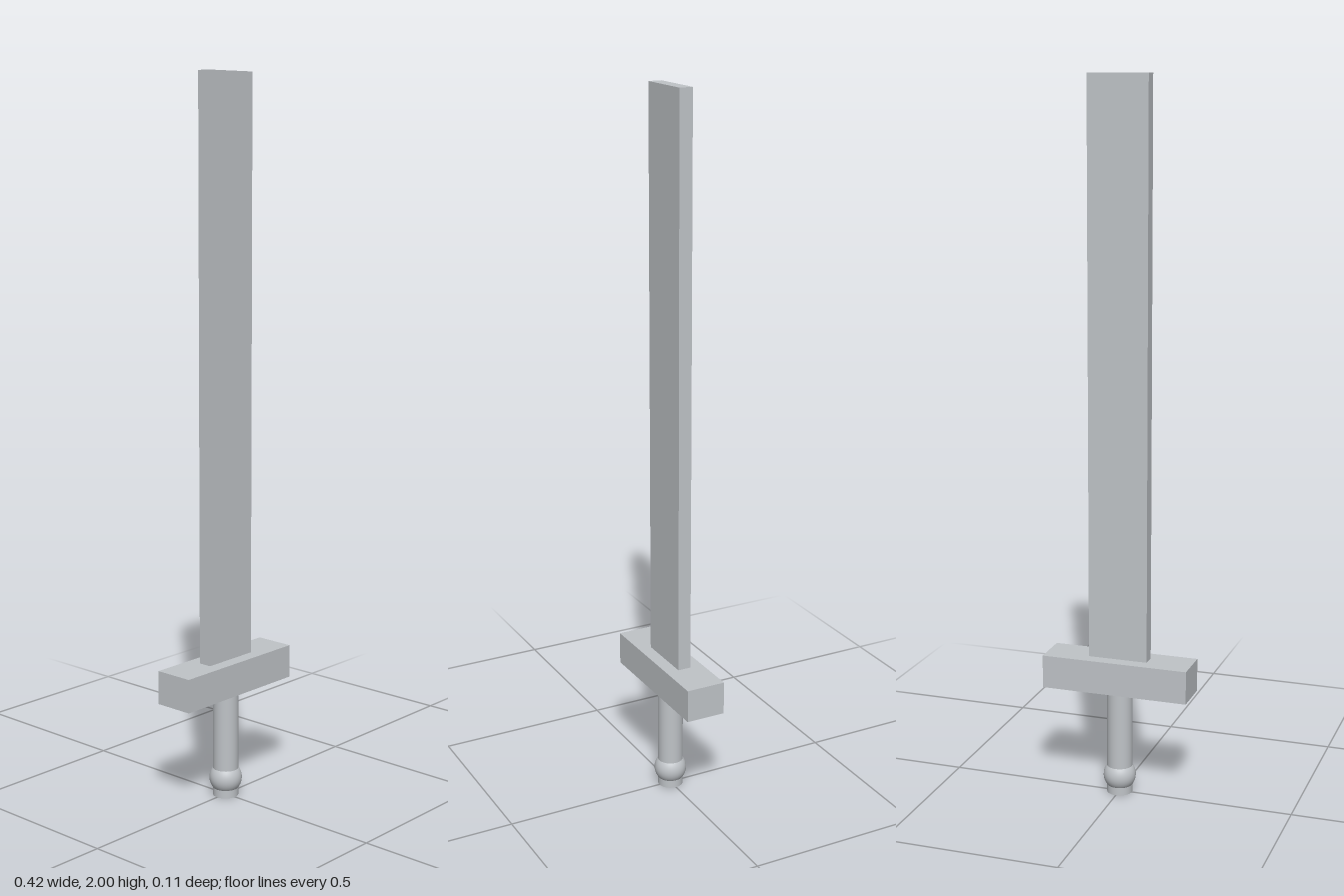
import * as THREE from 'three';

export function createModel() {
  const group = new THREE.Group();
  const steel = new THREE.MeshStandardMaterial({ color: 0xbfc3c7 });
  steel.name = 'steel grey';

  const add = (name, geometry, y) => {
    const mesh = new THREE.Mesh(geometry, steel);
    mesh.name = name;
    mesh.position.y = y;
    group.add(mesh);
  };

  // flat, square-ended blade
  add('blade', new THREE.BoxGeometry(0.17, 1.6, 0.038), 1.2);
  // crossguard block
  add('crossguard', new THREE.BoxGeometry(0.42, 0.094, 0.113), 0.354);
  // round grip running down through the pommel
  add('grip', new THREE.CylinderGeometry(0.036, 0.036, 0.31, 32), 0.155);
  // ball pommel, showing as a ring around the grip
  add('pommel', new THREE.SphereGeometry(0.046, 32, 24), 0.051);

  return group;
}
